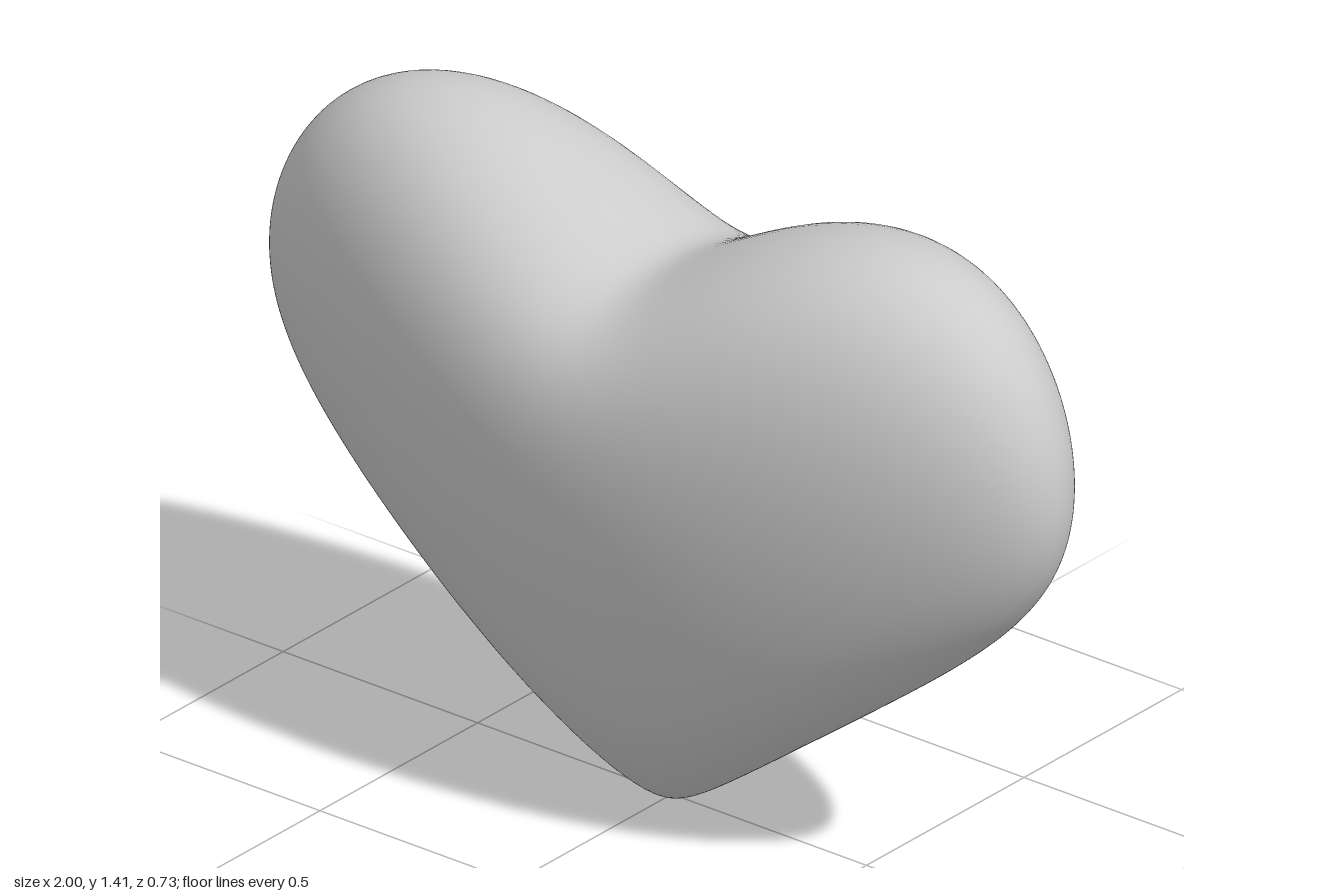
import * as THREE from 'three';
import { mergeVertices } from 'three/addons/utils/BufferGeometryUtils.js';

const HALF_HEIGHT = 0.6075; // half the height of the middle section
const LIFT = 0.68;          // how strongly the lobes rise away from the middle
const ROUNDING = 0.07;      // softens the cleft and the bottom tip
const FACE_ROUNDING = 0.4;  // blends the lobes together across the front and back

// Bend a unit sphere into a puffed heart.
function heartPoint(p) {
  const ax = Math.abs(p.x);
  const r = ROUNDING + FACE_ROUNDING * p.z * p.z;
  const lift = LIFT * (Math.hypot(ax, r) - r) * Math.sqrt(1.29 - ax);
  const y = HALF_HEIGHT * (1 + p.y * (1 + 0.06 * ax * ax)) + lift;
  // Thickest above the middle, narrowing to the tip
  const z = p.z / (3 - 1.15 * p.y - 0.25 * p.y ** 2 + 1.2 * Math.min(p.y, 0) ** 6);
  return p.set(p.x, y, z);
}

export function createModel() {
  const group = new THREE.Group();
  group.name = 'heart';

  // Poles lie on the x axis so that one ring of vertices follows the cleft
  let geometry = new THREE.SphereGeometry(1, 128, 160).rotateZ(Math.PI / 2);
  geometry.deleteAttribute('uv');
  geometry.deleteAttribute('normal');
  geometry = mergeVertices(geometry, 1e-5);

  const pos = geometry.attributes.position;
  const p = new THREE.Vector3();
  for (let i = 0; i < pos.count; i++) {
    heartPoint(p.fromBufferAttribute(pos, i));
    pos.setXYZ(i, p.x, p.y, p.z);
  }
  geometry.computeVertexNormals();

  const body = new THREE.Mesh(geometry, new THREE.MeshStandardMaterial({ color: 0xcccccc }));
  body.name = 'heartBody';
  group.add(body);
  return group;
}
